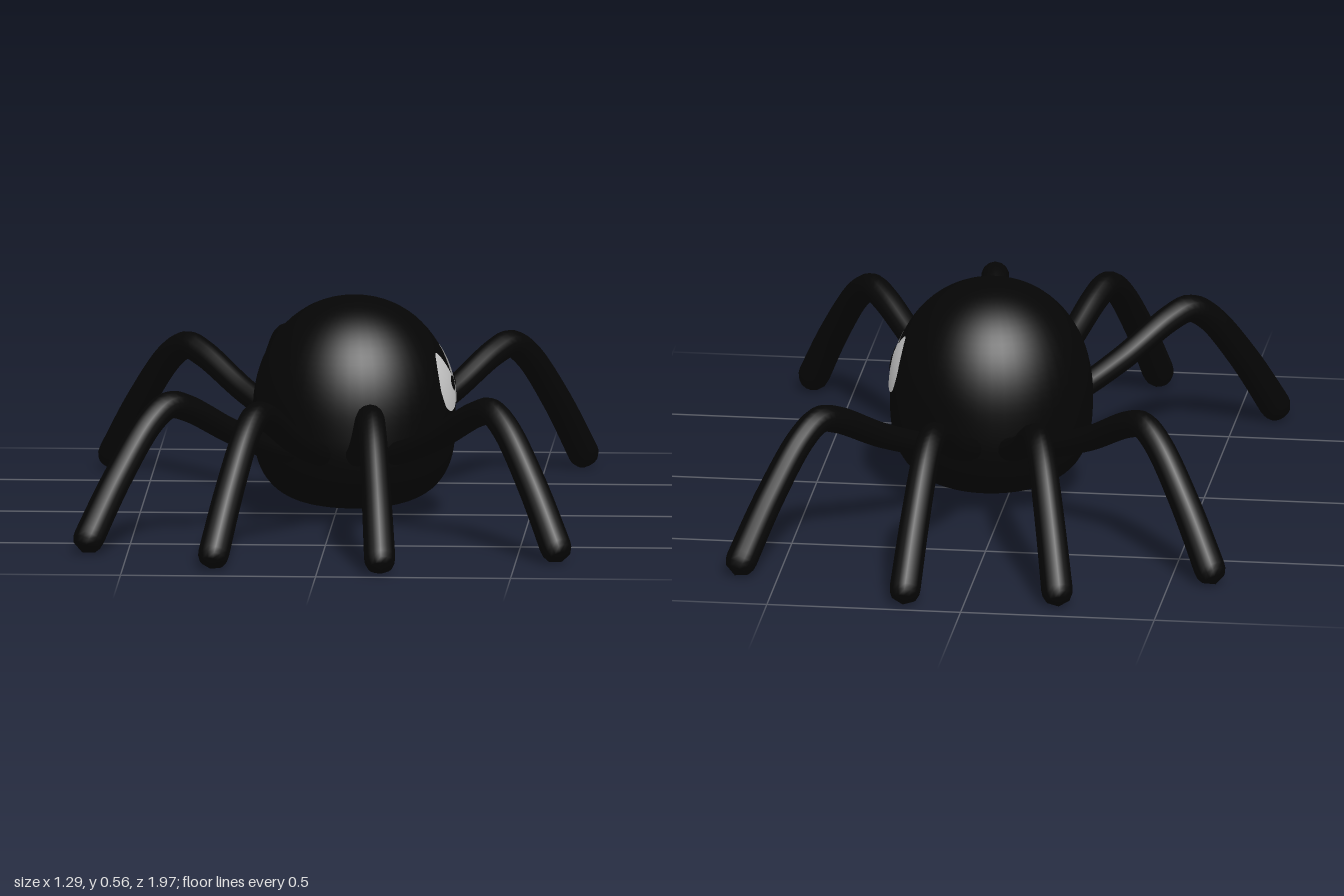
import * as THREE from 'three';
import { mergeVertices } from 'three/addons/utils/BufferGeometryUtils.js';

const CX = 0.048, CZ = -0.008, MID = 0.27, R = 0.26;
const black = new THREE.MeshStandardMaterial({ color: 0x050505 });
const white = new THREE.MeshStandardMaterial({ color: 0xcccccc, side: THREE.DoubleSide });
const pupilBlack = new THREE.MeshStandardMaterial({ color: 0x050505, side: THREE.DoubleSide });

// Body radius at a height: domed above, fuller and flatter below
function bodyRadius(y) {
  const up = y > MID;
  const n = up ? 2.1 : 3;
  const t = Math.min(1, Math.abs(y - MID) / (up ? 0.3 : 0.24));
  return R * Math.pow(1 - Math.pow(t, n), 1 / n);
}

function makeBody() {
  const profile = [];
  for (let i = 0; i <= 40; i++) {
    const s = Math.sin(-Math.PI / 2 + (Math.PI * i) / 40);
    const y = MID + s * (s > 0 ? 0.3 : 0.24);
    profile.push(new THREE.Vector2(bodyRadius(y), y));
  }
  const body = new THREE.Mesh(new THREE.LatheGeometry(profile, 48), black);
  body.position.set(CX, 0, CZ);
  body.name = 'body';
  return body;
}

// Tapered, round-ended leg from the body, over the knee, down to the foot
function makeLeg(root, foot) {
  const steps = [[-0.12, 0.19], [0, 0.2], [0.25, 0.265], [0.48, 0.345], [0.57, 0.36],
    [0.66, 0.325], [0.82, 0.195], [1, 0.01]];
  const curve = new THREE.CatmullRomCurve3(steps.map(([f, y]) => new THREE.Vector3(
    root[0] + (foot[0] - root[0]) * f, y, root[1] + (foot[1] - root[1]) * f)));
  const rings = 64, sides = 14;
  const geo = new THREE.TubeGeometry(curve, rings, 1, sides);
  const pos = geo.attributes.position, v = new THREE.Vector3();
  for (let i = 0; i <= rings; i++) {
    // ring spacing is closer at the foot cap through the steep rounding
    const u = i / rings, c = curve.getPointAt(u);
    const k = Math.max(0, (u - 0.955) / 0.045);
    const r = (0.029 + 0.012 * u) * Math.sqrt(Math.max(0, 1 - k * k));
    for (let j = 0; j <= sides; j++) {
      const n = i * (sides + 1) + j;
      v.fromBufferAttribute(pos, n).sub(c).multiplyScalar(r).add(c);
      pos.setXYZ(n, v.x, v.y, v.z);
    }
  }
  geo.deleteAttribute('uv');
  geo.deleteAttribute('normal');
  const smooth = mergeVertices(geo);
  smooth.computeVertexNormals();
  return new THREE.Mesh(smooth, black);
}

// Patch with a closed outline in (z, y), wrapped onto the front of the body
function makePatch(outline, side, lift, material) {
  const curve = new THREE.CatmullRomCurve3(
    outline.map(([z, y]) => new THREE.Vector3(z, y, 0)), true, 'catmullrom', 0.4);
  const edge = curve.getPoints(48);
  const mid = edge.reduce((a, p) => a.add(p), new THREE.Vector3()).divideScalar(edge.length);
  const rings = 6, verts = [], index = [];
  for (let i = 0; i <= rings; i++) {
    for (const p of edge) {
      const q = mid.clone().lerp(p, i / rings);
      const r = bodyRadius(q.y) + lift;
      verts.push(CX + Math.sqrt(r * r - q.x * q.x), q.y, CZ + side * q.x);
    }
  }
  const w = edge.length;
  for (let i = 0; i < rings; i++) {
    for (let j = 0; j < w - 1; j++) {
      const a = i * w + j, b = a + w;
      if (side > 0) index.push(a, a + 1, b, b, a + 1, b + 1);
      else index.push(a, b, a + 1, b, b + 1, a + 1);
    }
  }
  const geo = new THREE.BufferGeometry();
  geo.setAttribute('position', new THREE.Float32BufferAttribute(verts, 3));
  geo.setIndex(index);
  geo.computeVertexNormals();
  return new THREE.Mesh(geo, material);
}

export function createModel() {
  const model = new THREE.Group();
  model.name = 'spider';
  model.add(makeBody());

  // Legs: root and foot as (x, z)
  const legs = {
    rightFrontLeg: [[0.17, 0.22], [0.618, 0.765]],
    rightFrontMiddleLeg: [[0.07, 0.25], [0.165, 0.97]],
    rightRearMiddleLeg: [[-0.03, 0.24], [-0.275, 0.91]],
    rightRearLeg: [[-0.12, 0.19], [-0.615, 0.67]],
    leftFrontLeg: [[0.17, -0.24], [0.61, -0.79]],
    leftFrontMiddleLeg: [[0.07, -0.26], [0.153, -0.97]],
    leftRearMiddleLeg: [[-0.03, -0.25], [-0.245, -0.935]],
    leftRearLeg: [[-0.12, -0.21], [-0.62, -0.705]],
  };
  for (const [name, [root, foot]] of Object.entries(legs)) {
    const leg = makeLeg(root, foot);
    leg.name = name;
    model.add(leg);
  }

  // Scowling eyes with slanted upper lids, on the +x face
  const eyeShape = [[0.004, 0.352], [0.035, 0.39], [0.066, 0.432], [0.082, 0.432], [0.106, 0.395],
    [0.118, 0.345], [0.105, 0.3], [0.075, 0.285], [0.042, 0.292], [0.022, 0.312], [0.02, 0.335]];
  const pupilShape = [[0.02, 0.362], [0.036, 0.372], [0.052, 0.364], [0.056, 0.349],
    [0.044, 0.334], [0.028, 0.34]];
  for (const side of [1, -1]) {
    const eye = new THREE.Group();
    eye.name = side > 0 ? 'rightEye' : 'leftEye';
    const eyeWhite = makePatch(eyeShape, side, 0.004, white);
    eyeWhite.name = 'eyeWhite';
    const pupil = makePatch(pupilShape, side, 0.007, pupilBlack);
    pupil.name = 'pupil';
    eye.add(eyeWhite, pupil);
    model.add(eye);
  }
  return model;
}
